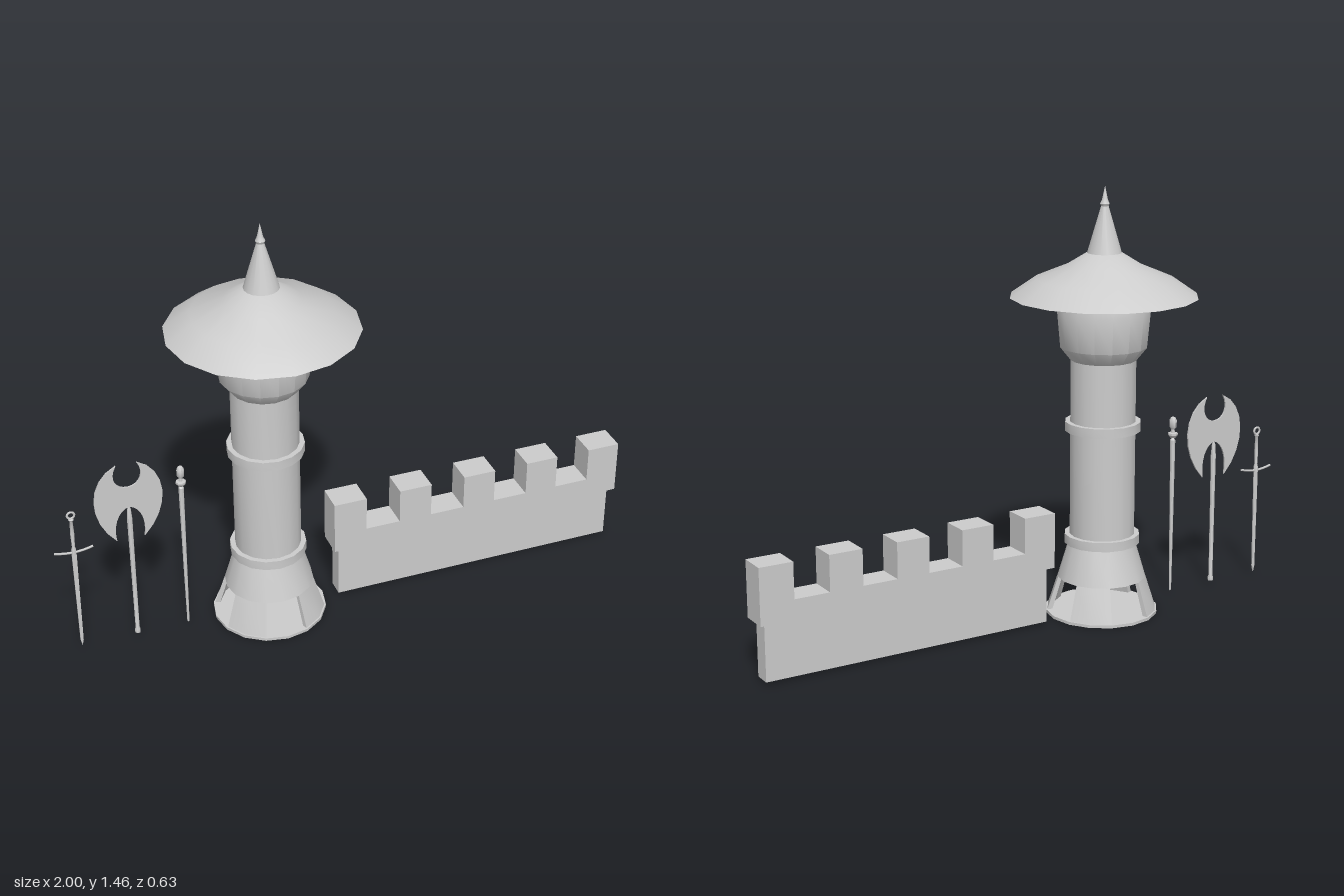
import * as THREE from 'three';
import { toCreasedNormals } from 'three/addons/utils/BufferGeometryUtils.js';

const stone = new THREE.MeshStandardMaterial({ color: 0xcccccc, side: THREE.DoubleSide });
stone.name = 'grey stone';

function add(parent, name, geometry, x = 0, y = 0, z = 0) {
  const mesh = new THREE.Mesh(geometry, stone);
  mesh.name = name;
  mesh.position.set(x, y, z);
  parent.add(mesh);
  return mesh;
}

// Turned solid; the profile runs from bottom to top as [radius, height]
function turned(profile, sides = 16) {
  const points = profile.map(([r, y]) => new THREE.Vector2(r, y));
  return toCreasedNormals(new THREE.LatheGeometry(points, sides), 0.6);
}

function drum(radius, bottom, top) {
  return turned([[0, bottom], [radius, bottom], [radius, top], [0, top]]);
}

// One leg of the flared base: an eighth of a ring, widened towards the ground
function legGeometry(index) {
  const height = 0.125, topR = 0.15, footR = 0.19, thick = 0.014;
  const shape = new THREE.Shape();
  const angles = [1, 2, 3].map((k) => (k * Math.PI) / 8 + (index * Math.PI) / 2);
  const corners = [
    ...angles.map((a) => [topR, a]),
    ...angles.slice().reverse().map((a) => [topR - thick, a]),
  ].map(([r, a]) => new THREE.Vector2(r * Math.cos(a), r * Math.sin(a)));
  shape.setFromPoints(corners);
  const geo = new THREE.ExtrudeGeometry(shape, { depth: height, bevelEnabled: false });
  geo.rotateX(-Math.PI / 2);
  const p = geo.attributes.position;
  for (let i = 0; i < p.count; i++) {
    const s = THREE.MathUtils.lerp(footR / topR, 1, p.getY(i) / height);
    p.setX(i, p.getX(i) * s);
    p.setZ(i, p.getZ(i) * s);
  }
  return toCreasedNormals(geo, 0.6);
}

function buildTower() {
  const tower = new THREE.Group();
  tower.name = 'tower';
  add(tower, 'plinth', drum(0.192, 0, 0.01));
  for (let i = 0; i < 4; i++) add(tower, 'baseLeg', legGeometry(i));
  add(tower, 'baseCone', turned([[0, 0.125], [0.15, 0.125], [0.113, 0.25], [0, 0.25]]));
  add(tower, 'shaft', drum(0.111, 0.24, 0.89));
  add(tower, 'lowerRing', drum(0.128, 0.246, 0.278));
  add(tower, 'upperRing', drum(0.128, 0.638, 0.67));
  add(tower, 'towerHead', turned([
    [0, 0.88], [0.111, 0.88], [0.146, 0.924], [0.157, 1.045], [0.144, 1.1], [0.13, 1.13], [0, 1.13],
  ]));
  add(tower, 'roof', turned([
    [0, 1.125], [0.13, 1.12], [0.314, 1.093], [0.228, 1.153], [0.124, 1.196], [0.058, 1.237], [0, 1.237],
  ]));
  add(tower, 'spire', turned([[0.058, 1.236], [0.012, 1.392], [0, 1.392]]));
  add(tower, 'finial', turned([
    [0, 1.387], [0.012, 1.389], [0.016, 1.398], [0.011, 1.408], [0.009, 1.415], [0, 1.457],
  ]));
  tower.position.x = -0.28;
  return tower;
}

function buildWall() {
  const wall = new THREE.Group();
  wall.name = 'castleWall';
  add(wall, 'wallBody', new THREE.BoxGeometry(1.02, 0.192, 0.06), 0.47, 0.106, 0);

  // Battlement outline: five merlons on a continuous parapet
  const shape = new THREE.Shape();
  const left = -0.06, pitch = 0.2362, width = 0.1152;
  shape.moveTo(left, 0.202);
  for (let i = 0; i < 5; i++) {
    const x = left + i * pitch;
    shape.lineTo(x, i ? 0.27 : 0.3);
    shape.lineTo(x, 0.392);
    shape.lineTo(x + width, 0.392);
    shape.lineTo(x + width, i < 4 ? 0.27 : 0.202);
  }
  const geo = new THREE.ExtrudeGeometry(shape, { depth: 0.098, bevelEnabled: false });
  add(wall, 'battlement', geo, 0, 0, -0.049);
  return wall;
}

function buildSword() {
  const sword = new THREE.Group();
  sword.name = 'sword';
  const blade = new THREE.Shape();
  blade.moveTo(0, 0.018);
  blade.lineTo(0.005, 0.04);
  blade.lineTo(0.008, 0.4);
  blade.lineTo(-0.008, 0.4);
  blade.lineTo(-0.005, 0.04);
  add(sword, 'swordBlade', new THREE.ExtrudeGeometry(blade, { depth: 0.005, bevelEnabled: false }), 0, 0, -0.0025);
  // Crossguard with raised ends
  const arc = new THREE.QuadraticBezierCurve3(
    new THREE.Vector3(-0.064, 0.407, 0), new THREE.Vector3(0, 0.387, 0), new THREE.Vector3(0.064, 0.407, 0));
  add(sword, 'crossguard', new THREE.TubeGeometry(arc, 8, 0.004, 6));
  add(sword, 'swordGrip', turned([
    [0, 0.39], [0.008, 0.39], [0.008, 0.41], [0.005, 0.42], [0.007, 0.47], [0.005, 0.52], [0.009, 0.526], [0, 0.532],
  ], 8));
  add(sword, 'ringPommel', new THREE.TorusGeometry(0.012, 0.004, 6, 12), 0, 0.542, 0);
  sword.position.x = -0.936;
  return sword;
}

function buildAxe() {
  const axe = new THREE.Group();
  axe.name = 'battleAxe';
  add(axe, 'axeHandle', turned([
    [0, 0.016], [0.009, 0.019], [0.01, 0.03], [0.007, 0.038], [0.008, 0.3], [0.009, 0.48], [0.006, 0.52], [0, 0.535],
  ], 8));
  // Double crescent head with round bites above and below
  const head = new THREE.Shape();
  head.moveTo(0, 0.605);
  head.bezierCurveTo(0.04, 0.605, 0.06, 0.65, 0.034, 0.693);
  head.bezierCurveTo(0.135, 0.65, 0.14, 0.5, 0.046, 0.405);
  head.bezierCurveTo(0.056, 0.46, 0.04, 0.52, 0, 0.53);
  head.bezierCurveTo(-0.04, 0.52, -0.056, 0.46, -0.046, 0.405);
  head.bezierCurveTo(-0.14, 0.5, -0.135, 0.65, -0.034, 0.693);
  head.bezierCurveTo(-0.06, 0.65, -0.04, 0.605, 0, 0.605);
  const geo = new THREE.ExtrudeGeometry(head, { depth: 0.006, bevelEnabled: false, curveSegments: 8 });
  add(axe, 'axeHead', geo, 0, 0, -0.003);
  axe.position.x = -0.746;
  return axe;
}

function buildMace() {
  const mace = new THREE.Group();
  mace.name = 'staff';
  add(mace, 'staffShaft', turned([[0, 0.012], [0.004, 0.016], [0.006, 0.2], [0.009, 0.56], [0, 0.57]], 8));
  add(mace, 'staffCollar', turned([[0, 0.566], [0.009, 0.568], [0.017, 0.578], [0.017, 0.585], [0, 0.588]], 8));
  add(mace, 'staffKnob', turned([
    [0.007, 0.584], [0.006, 0.598], [0.012, 0.606], [0.013, 0.63], [0.008, 0.64], [0, 0.643],
  ], 8));
  mace.position.x = -0.57;
  return mace;
}

export function createModel() {
  const model = new THREE.Group();
  model.name = 'castleSet';
  model.add(buildTower(), buildWall(), buildSword(), buildAxe(), buildMace());
  return model;
}
